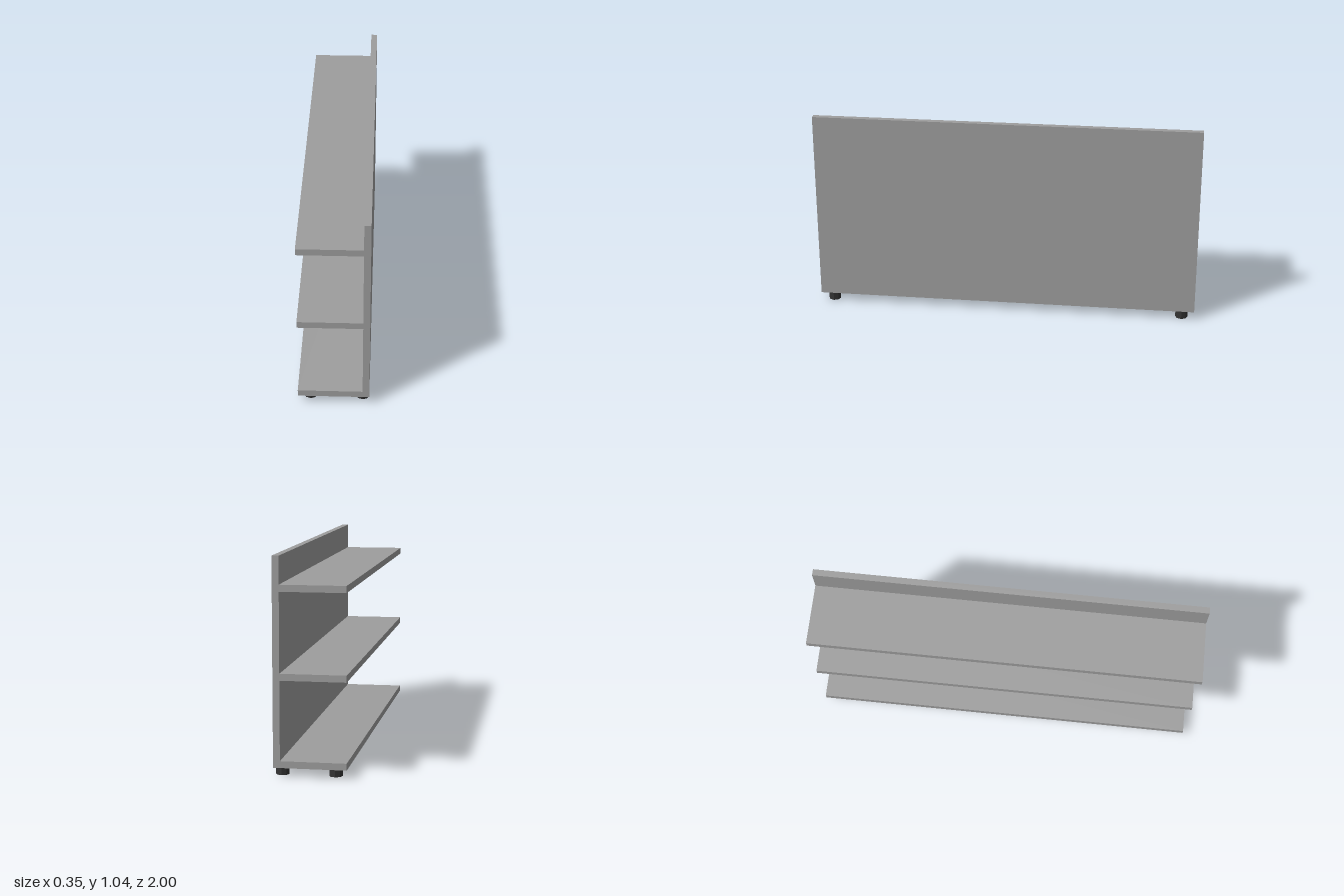
import * as THREE from 'three';

export function createModel() {
  const group = new THREE.Group();
  const grey = new THREE.MeshStandardMaterial({ color: 0x9e9e9e });
  const dark = new THREE.MeshStandardMaterial({ color: 0x333333, flatShading: true });

  const length = 2, board = 0.033, footHeight = 0.043;
  const xMin = -0.175, xMax = 0.175, panelX = xMax - board;

  const addBoard = (name, x0, x1, y0, y1) => {
    const mesh = new THREE.Mesh(new THREE.BoxGeometry(x1 - x0, y1 - y0, length), grey);
    mesh.position.set((x0 + x1) / 2, (y0 + y1) / 2, 0);
    mesh.name = name;
    group.add(mesh);
  };

  // Upright back panel
  addBoard('backPanel', panelX, xMax, footHeight, 1.042);

  // Three evenly spaced shelves
  ['bottomShelf', 'middleShelf', 'topShelf'].forEach((name, i) => {
    const y = footHeight + i * 0.416;
    addBoard(name, xMin, panelX, y, y + board);
  });

  // Low-poly round feet
  const footGeometry = new THREE.CylinderGeometry(0.032, 0.032, footHeight, 8);
  for (const x of [-0.114, 0.142]) {
    for (const z of [-0.934, 0.934]) {
      const foot = new THREE.Mesh(footGeometry, dark);
      foot.position.set(x, footHeight / 2, z);
      foot.name = 'foot';
      group.add(foot);
    }
  }
  return group;
}
